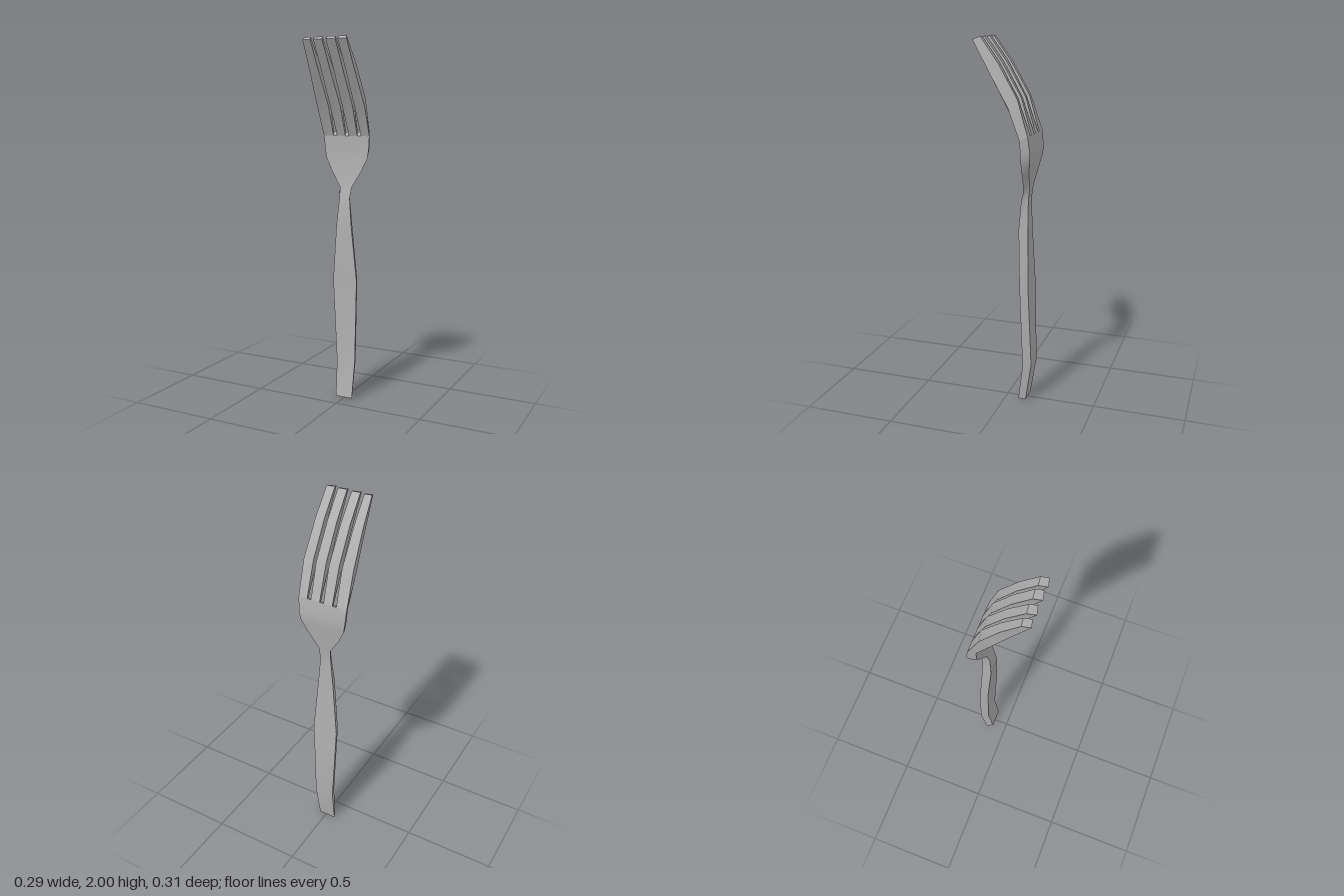
import * as THREE from 'three';
import { toCreasedNormals } from 'three/addons/utils/BufferGeometryUtils.js';

const SKEW = 0.008; // front face sits slightly to +x of the back face

// Four corners of a cross-section; twist brings its -x side forward
function section(x0, x1, [yf, zf, yb, zb], twist = 0) {
  return [
    [x0 + SKEW, yf, zf + twist], [x1 + SKEW, yf, zf - twist],
    [x1 - SKEW, yb, zb - twist / 2], [x0 - SKEW, yb, zb + twist / 2],
  ];
}

// Closed bar through cross-sections listed from bottom to top
function loft(rings) {
  const pos = [];
  const quad = (a, b, c, d) => pos.push(...a, ...b, ...c, ...a, ...c, ...d);
  for (let r = 0; r < rings.length - 1; r++) {
    const lo = rings[r], hi = rings[r + 1];
    for (let i = 0; i < 4; i++) {
      const j = (i + 1) % 4;
      quad(lo[i], lo[j], hi[j], hi[i]);
    }
  }
  const [a, b, c, d] = rings[0];
  quad(d, c, b, a);
  quad(...rings[rings.length - 1]);
  const geometry = new THREE.BufferGeometry();
  geometry.setAttribute('position', new THREE.Float32BufferAttribute(pos, 3));
  return toCreasedNormals(geometry, 0.7);
}

export function createModel() {
  const group = new THREE.Group();
  const steel = new THREE.MeshStandardMaterial({ color: 0xb0b0b0 });
  steel.name = 'steel grey';
  const add = (name, rings) => {
    const mesh = new THREE.Mesh(loft(rings), steel);
    mesh.name = name;
    group.add(mesh);
  };

  // Handle, neck and shoulder: half width, then front y, z and back y, z
  const body = [
    [0.050, 0.01, -0.080, 0.00, -0.117],
    [0.056, 0.217, -0.105, 0.217, -0.150],
    [0.072, 0.69, -0.090, 0.69, -0.133],
    [0.045, 1.00, -0.076, 1.00, -0.122],
    [0.031, 1.15, -0.085, 1.155, -0.120],
    [0.035, 1.21, -0.100, 1.225, -0.128],
    [0.090, 1.30, -0.107, 1.31, -0.140],
    [0.124, 1.37, -0.110, 1.38, -0.152],
    [0.132, 1.42, -0.110, 1.425, -0.156],
    [0.137, 1.49, -0.106, 1.51, -0.145],
  ];
  add('handleAndShoulder', body.map(([w, ...side]) => section(-w, w, side)));

  // Tines: front y, z, back y, z, then taper (0 root, 1 tip) and twist
  const tineRows = [
    [1.49, -0.106, 1.51, -0.145, 0, 0],
    [1.65, -0.035, 1.695, -0.085, 0.1, 0.011],
    [1.815, 0.056, 1.87, 0.016, 0.55, 0.006],
    [1.985, 0.151, 2.00, 0.112, 1, 0.0055],
  ];
  // Left and right edges of each tine at its root and at its tip
  const tines = [
    [-0.137, -0.078, -0.122, -0.083],
    [-0.056, -0.006, -0.060, -0.015],
    [0.016, 0.066, 0.0125, 0.060],
    [0.088, 0.137, 0.079, 0.123],
  ];
  tines.forEach(([r0, r1, t0, t1], i) => {
    add('tine' + (i + 1), tineRows.map(([yf, zf, yb, zb, t, twist]) => section(
      THREE.MathUtils.lerp(r0, t0, t), THREE.MathUtils.lerp(r1, t1, t),
      [yf, zf, yb, zb], twist)));
  });
  return group;
}
